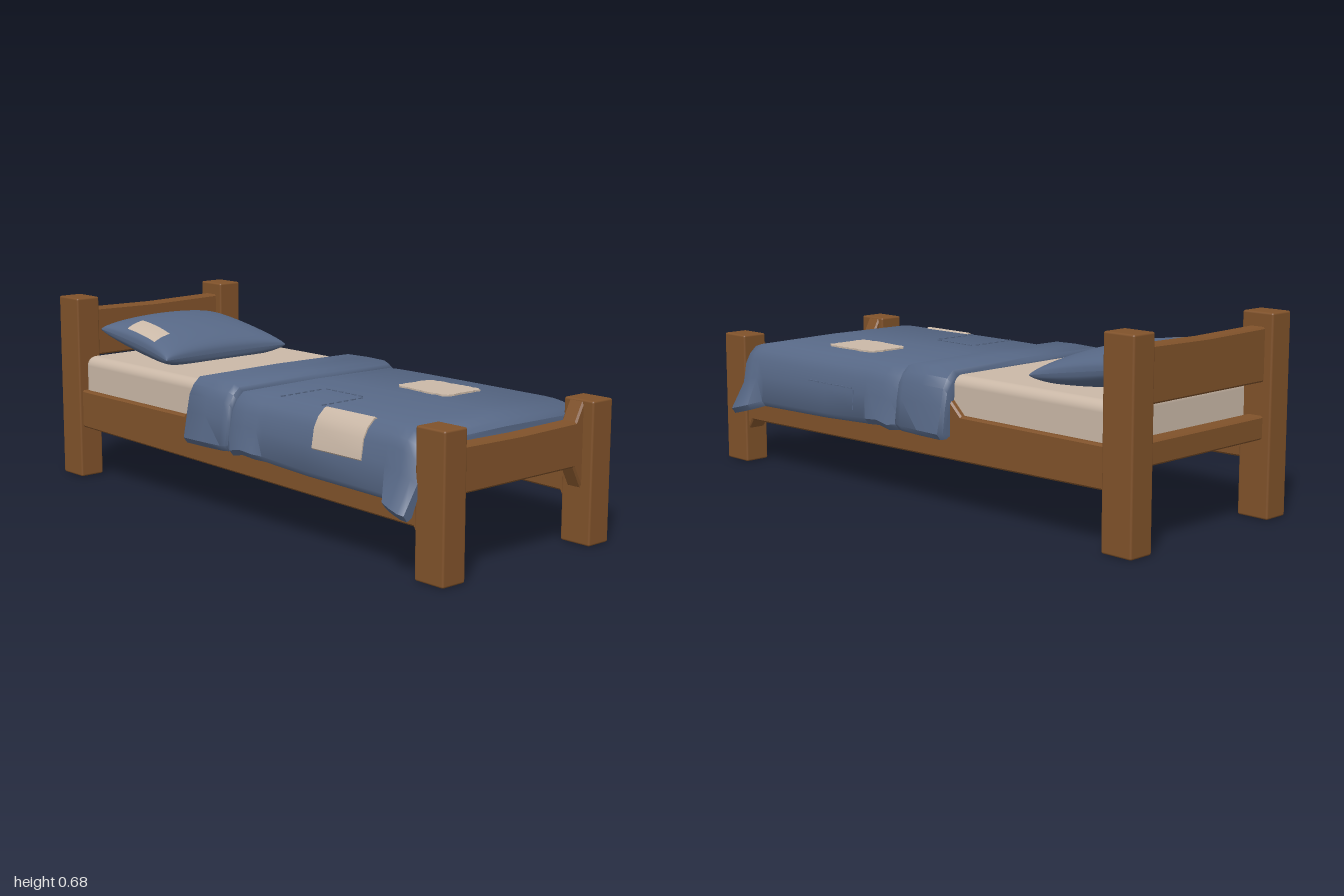
import * as THREE from 'three';
import { toCreasedNormals } from 'three/addons/utils/BufferGeometryUtils.js';
import { RoundedBoxGeometry } from 'three/addons/geometries/RoundedBoxGeometry.js';

const material = (name, color, side = THREE.FrontSide) => {
  const m = new THREE.MeshStandardMaterial({ color, side });
  m.name = name;
  return m;
};

// Small repeatable noise in the range -1..1
let seed = 7;
const noise = () => {
  seed = (seed * 16807) % 2147483647;
  return (seed / 2147483647) * 2 - 1;
};

// Bevelled plank cut from an outline
function plank(points, depth) {
  const b = 0.006;
  const shape = new THREE.Shape(points.map(([x, y]) => new THREE.Vector2(x, y)));
  const g = new THREE.ExtrudeGeometry(shape, {
    depth: depth - 2 * b, bevelEnabled: true, bevelSize: b, bevelThickness: b, bevelOffset: -b, bevelSegments: 1,
  });
  return g.translate(0, 0, b - depth / 2);
}

// Closed loft through rings [{z, ring}], each ring counter-clockwise seen from +z
function loft(sections) {
  const n = sections[0].ring.length;
  const pos = [], index = [];
  sections.forEach(({ z, ring }) => ring.forEach(([x, y]) => pos.push(x, y, z)));
  for (let i = 0; i < sections.length - 1; i++) {
    for (let j = 0; j < n; j++) {
      const a = i * n + j, b = i * n + (j + 1) % n;
      index.push(a, b, b + n, a, b + n, a + n);
    }
  }
  [0, sections.length - 1].forEach((s) => {
    const contour = sections[s].ring.map(([x, y]) => new THREE.Vector2(x, y));
    THREE.ShapeUtils.triangulateShape(contour, []).forEach(([a, b, c]) => {
      const o = s * n;
      if (s === 0) index.push(o + a, o + c, o + b);
      else index.push(o + a, o + b, o + c);
    });
  });
  const g = new THREE.BufferGeometry();
  g.setAttribute('position', new THREE.Float32BufferAttribute(pos, 3));
  g.setIndex(index);
  return toCreasedNormals(g, 0.8);
}

// Draped cloth cross-section: shoulder half-width w, hem at (hx, hy), top height t
function drape([z, w, hx, hy, t]) {
  const outer = [[hx, hy + 0.02], [w, (hy + t) / 2 - 0.005], [w - 0.01, t - 0.06], [w - 0.028, t - 0.028], [w - 0.055, t - 0.004], [0, t]];
  const inner = [[0, t - 0.03], [w - 0.07, t - 0.032], [w - 0.04, t - 0.08], [hx - 0.035, hy + 0.01], [hx - 0.015, hy]];
  const flip = (p) => p.slice().reverse().filter(([x]) => x > 0).map(([x, y]) => [-x, y]);
  return { z, ring: [...outer, ...flip(outer), ...flip(inner), ...inner] };
}

// Point on the pillow, u across and v towards the foot, both -1..1
function pillowPoint(u, v, side) {
  const x = u * 0.274 * (1 - 0.06 * (1 - v * v)) * (1 + 0.025 * v);
  const z = -0.69 + v * 0.212 * (1 - (v > 0 ? 0.07 : 0.01) * (1 - u * u));
  const h = 0.072 * Math.pow(Math.max(0, (1 - u * u) * (1 - v * v)), 0.36);
  const y = 0.515 - 0.033 * v + side * h;
  return [x, side < 0 ? Math.max(y, 0.45) : y, z];
}

function pillowSheet(segments, side, mapU, mapV, lift = 0) {
  const g = new THREE.PlaneGeometry(2, 2, segments, segments);
  const p = g.attributes.position;
  for (let i = 0; i < p.count; i++) {
    const [x, y, z] = pillowPoint(mapU(p.getX(i)), mapV(-side * p.getY(i)), side);
    p.setXYZ(i, x, y + lift, z);
  }
  g.computeVertexNormals();
  return g;
}

export function createModel() {
  const group = new THREE.Group();
  const wood = material('wood brown', 0x80522a);
  const blue = material('cloth blue', 0x576886);
  const linen = material('linen beige', 0xcab8a7, THREE.DoubleSide);
  const dark = material('underside dark', 0x443d38);

  const add = (name, geometry, mat, x = 0, y = 0, z = 0) => {
    const mesh = new THREE.Mesh(geometry, mat);
    mesh.name = name;
    mesh.position.set(x, y, z);
    group.add(mesh);
    return mesh;
  };

  // Posts and side rails
  for (const s of [-1, 1]) {
    add('footPost', new RoundedBoxGeometry(0.096, 0.476, 0.12, 2, 0.007), wood, s * 0.337, 0.238, 0.94);
    add('headPost', new RoundedBoxGeometry(0.096, 0.675, 0.12, 2, 0.007), wood, s * 0.337, 0.3375, -0.94);
    const rail = plank([
      [-0.89, 0.11], [-0.86, 0.16], [0.89, 0.19], [0.89, 0.33], [0.26, 0.33], [0.2, 0.385], [0.1, 0.33], [-0.89, 0.33],
    ], 0.07);
    add('sideRail', rail.rotateY(Math.PI / 2), wood, s * 0.337);
  }

  // Foot board with corner braces
  add('footBoard', plank([
    [-0.3, 0.13], [-0.288, 0.145], [-0.255, 0.26], [0.25, 0.26], [0.288, 0.19], [0.3, 0.18],
    [0.3, 0.47], [0.288, 0.47], [0.255, 0.408], [0, 0.404], [-0.255, 0.408], [-0.288, 0.47], [-0.3, 0.47],
  ], 0.06), wood, 0, 0, 0.93);

  // Head board and the rail below it
  add('headBoard', plank([[-0.3, 0.45], [0.3, 0.45], [0.3, 0.63], [0, 0.624], [-0.3, 0.628]], 0.06), wood, 0, 0, -0.94);
  add('headRail', plank([[-0.3, 0.262], [0.3, 0.262], [0.3, 0.34], [-0.3, 0.34]], 0.06), wood, 0, 0, -0.94);

  // Slab under the bedding, and the mattress reaching under the cuff
  add('bedBase', new THREE.BoxGeometry(0.62, 0.02, 1.81), dark, 0, 0.275, 0);
  add('mattress', new RoundedBoxGeometry(0.705, 0.165, 0.85, 4, 0.035), linen, 0, 0.374, -0.47);

  // Blanket flaring at the foot corners, with its folded-back cuff
  add('blanket', loft([
    [0.0, 0.385, 0.395, 0.25, 0.452], [0.05, 0.4, 0.42, 0.245, 0.455], [0.1, 0.4, 0.42, 0.255, 0.456],
    [0.16, 0.398, 0.418, 0.25, 0.457], [0.19, 0.395, 0.4, 0.245, 0.458], [0.4, 0.395, 0.4, 0.235, 0.458],
    [0.76, 0.395, 0.4, 0.228, 0.457], [0.795, 0.396, 0.44, 0.215, 0.455], [0.83, 0.397, 0.447, 0.205, 0.45],
    [0.87, 0.395, 0.45, 0.195, 0.438], [0.89, 0.385, 0.442, 0.19, 0.42],
  ].map(drape)), blue);
  add('blanketCuff', loft([
    [-0.212, 0.395, 0.405, 0.25, 0.462], [-0.2, 0.402, 0.42, 0.248, 0.476], [-0.1, 0.405, 0.42, 0.249, 0.478],
    [-0.01, 0.405, 0.415, 0.25, 0.476], [0.015, 0.402, 0.41, 0.252, 0.468], [0.022, 0.395, 0.405, 0.255, 0.455],
  ].map(drape)), blue);

  // Pillow halves
  const bulge = (s) => Math.sin(s * Math.PI / 2);
  add('pillowTop', pillowSheet(32, 1, bulge, bulge), blue);
  add('pillowUnderside', pillowSheet(32, -1, bulge, bulge), blue);
  add('pillowPatch', pillowSheet(14, 1, (s) => -0.81 + s * 0.135, (s) => 0.06 + s * 0.42, 0.005), linen);

  // Frayed patch on top of the blanket
  const edge = [];
  const corners = [[0.085, -0.57], [0.225, -0.57], [0.24, -0.55], [0.238, -0.345], [0.22, -0.33], [0.09, -0.325], [0.075, -0.345], [0.068, -0.55]];
  corners.forEach(([x, y], i) => {
    const [nx, ny] = corners[(i + 1) % corners.length];
    const steps = Math.ceil(Math.hypot(nx - x, ny - y) / 0.018);
    for (let k = 0; k < steps; k++) {
      const t = k / steps;
      edge.push(new THREE.Vector2(x + (nx - x) * t + noise() * 0.004, y + (ny - y) * t + noise() * 0.004));
    }
  });
  const topPatch = new THREE.ExtrudeGeometry(new THREE.Shape(edge), { depth: 0.006, bevelEnabled: false });
  add('blanketPatch', topPatch.rotateX(-Math.PI / 2), linen, 0, 0.4565, 0);

  // Patch wrapped over the blanket edge
  const wrap = [[-0.335, 0.46], [-0.343, 0.458], [-0.371, 0.433], [-0.389, 0.4], [-0.4, 0.335]];
  const ring = [...wrap, ...wrap.slice().reverse().map(([x, y]) => [x + 0.007, y - 0.007])];
  add('edgePatch', loft([{ z: 0.435, ring }, { z: 0.66, ring }]), linen);

  // Running stitches outlining two cloth-coloured patches
  const stitches = (from, to, count, length) => {
    const a = new THREE.Vector3(...from), b = new THREE.Vector3(...to);
    const direction = b.clone().sub(a).normalize();
    for (let i = 0; i < count; i++) {
      const m = add('stitch', new THREE.BoxGeometry(length, 0.004, 0.005), blue);
      m.position.lerpVectors(a, b, (i + 0.5) / count);
      m.quaternion.setFromUnitVectors(new THREE.Vector3(1, 0, 0), direction);
    }
  };
  stitches([-0.33, 0.457, 0.2], [-0.14, 0.458, 0.2], 6, 0.018);
  stitches([-0.13, 0.458, 0.2], [-0.13, 0.458, 0.39], 6, 0.018);
  stitches([-0.33, 0.457, 0.4], [-0.14, 0.458, 0.4], 6, 0.018);
  stitches([0.395, 0.36, 0.25], [0.395, 0.36, 0.5], 7, 0.02);
  stitches([0.397, 0.28, 0.25], [0.394, 0.36, 0.25], 3, 0.016);

  return group;
}
